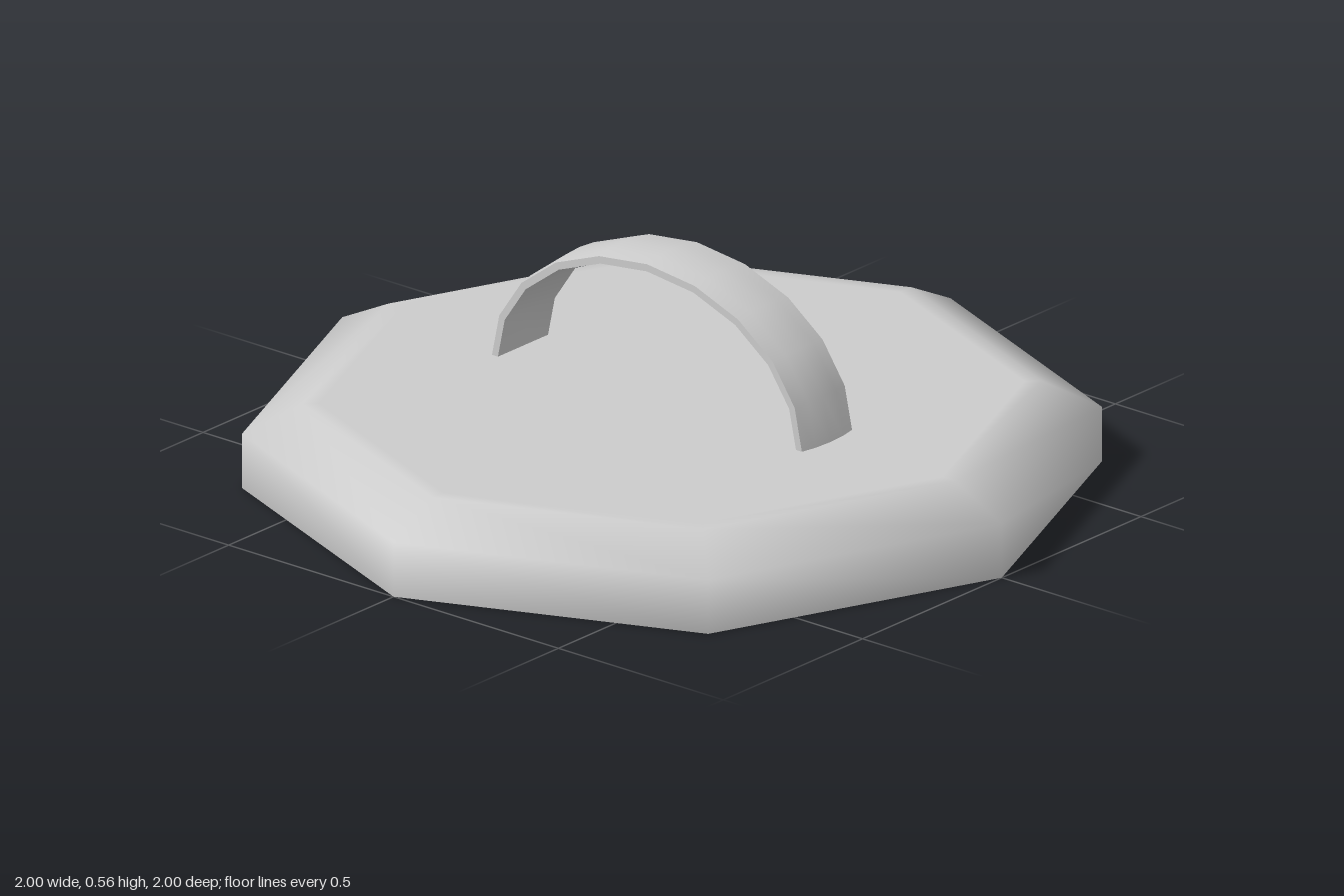
import * as THREE from 'three';
import { toCreasedNormals } from 'three/addons/utils/BufferGeometryUtils.js';

const material = new THREE.MeshStandardMaterial({ color: 0xcccccc, side: THREE.DoubleSide });

// Eight-sided lid with a soft bevel on top and a shallow recess below
function createLid() {
  const profile = [
    [0, 0.03], [0.93, 0.03], [0.985, 0.03], [0.985, 0], [1, 0],
    [1, 0.135], [0.86, 0.205], [0.82, 0.205], [0, 0.205],
  ].map(([r, y]) => new THREE.Vector2(r, y));
  const lid = new THREE.Mesh(new THREE.LatheGeometry(profile, 8), material);
  lid.name = 'lid';
  return lid;
}

// Flat strap with a slightly domed outer face, swept over a half ellipse
function createHandle() {
  const section = [
    [-0.09, 0.004], [-0.05, 0.012], [0, 0.015], [0.05, 0.012], [0.09, 0.004],
    [0.09, -0.014], [-0.09, -0.014],
  ];
  const a = 0.467, b = 0.348, baseY = 0.2, steps = 10, n = section.length;
  const positions = [], indices = [];
  for (let i = 0; i <= steps; i++) {
    const t = (i / steps) * Math.PI;
    const normal = new THREE.Vector2(Math.cos(t) / a, Math.sin(t) / b).normalize();
    for (const [x, offset] of section) {
      positions.push(x, baseY + b * Math.sin(t) + normal.y * offset, a * Math.cos(t) + normal.x * offset);
    }
  }
  for (let i = 0; i < steps; i++) {
    for (let j = 0; j < n; j++) {
      const p = i * n + j, q = i * n + (j + 1) % n;
      indices.push(p, q, p + n, q, q + n, p + n);
    }
  }
  const geometry = new THREE.BufferGeometry();
  geometry.setAttribute('position', new THREE.Float32BufferAttribute(positions, 3));
  geometry.setIndex(indices);
  const handle = new THREE.Mesh(toCreasedNormals(geometry, 0.8), material);
  handle.name = 'handle';
  return handle;
}

export function createModel() {
  const model = new THREE.Group();
  model.name = 'lidWithHandle';
  model.add(createLid(), createHandle());
  return model;
}
